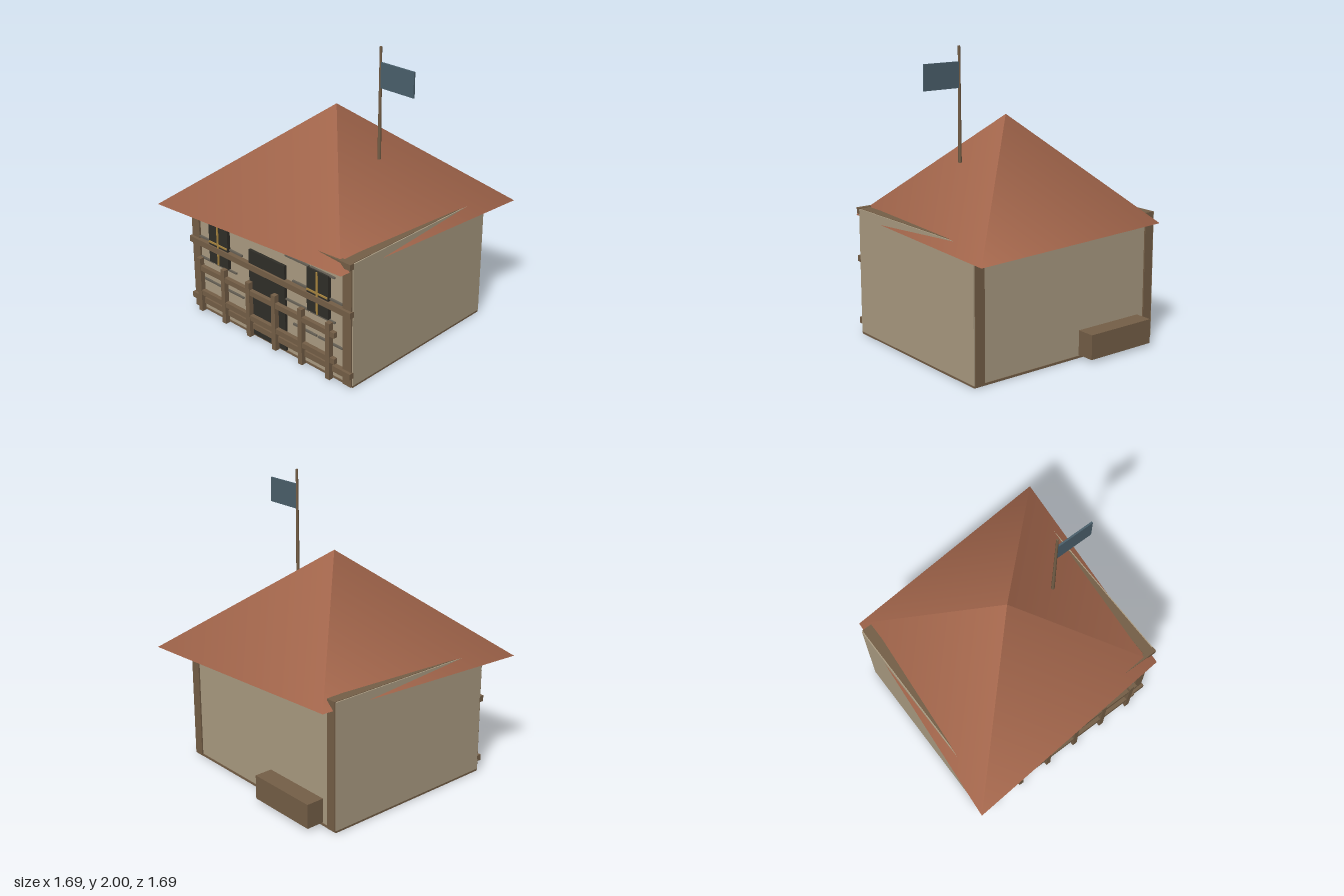
import * as THREE from 'three';

export function createModel() {
  const model = new THREE.Group();
  const mat = (color) => new THREE.MeshStandardMaterial({ color });
  const plaster = mat(0xab9c82);
  const wood = mat(0x755f47);
  const tile = mat(0xa0644a);
  const dark = mat(0x302e28);
  const gold = mat(0xa8853f);
  const seam = mat(0x666055);
  const cloth = mat(0x4b606c);

  const add = (name, geometry, material) => {
    const mesh = new THREE.Mesh(geometry, material);
    mesh.name = name;
    model.add(mesh);
    return mesh;
  };
  // Box given by its limits on each axis
  const box = (name, material, x0, x1, y0, y1, z0, z1) => {
    const mesh = add(name, new THREE.BoxGeometry(x1 - x0, y1 - y0, z1 - z0), material);
    mesh.position.set((x0 + x1) / 2, (y0 + y1) / 2, (z0 + z1) / 2);
    return mesh;
  };

  // Walls
  box('walls', plaster, -0.738, 0.738, 0.015, 0.87, -0.635, 0.635);

  // Side frames with a plaster skin on the outside
  for (const s of [-1, 1]) {
    const side = s < 0 ? 'right' : 'left';
    const a = s * 0.67, b = s * 0.742, c = s * 0.75;
    box(side + 'Frame', wood, Math.min(a, b), Math.max(a, b), 0.003, 0.883, -0.645, 0.65);
    box(side + 'WallSkin', plaster, Math.min(b, c), Math.max(b, c), 0.015, 0.88, -0.64, 0.64);
  }

  // Sills under the walls
  for (const s of [-1, 1]) {
    const sideSill = box('sideSill', wood, -0.035, 0.035, 0, 0.015, -0.64, 0.64);
    sideSill.position.x = s * 0.713;
    const endSill = box('endSill', wood, -0.745, 0.745, 0, 0.015, -0.03, 0.03);
    endSill.position.z = s * 0.61;
  }

  // Hipped roof on a skewed, diamond-shaped plan
  const roof = new THREE.ConeGeometry(1, 0.71, 4);
  roof.scale(1.198, 1, 1.022);
  roof.rotateY(Math.PI / 4);
  add('roof', roof, tile).position.y = 0.82 + 0.355;

  // Long rails across the front
  for (const y of [0.092, 0.531, 0.865]) {
    box('frontBeam', wood, -0.75, 0.75, y - 0.021, y + 0.021, 0.635, 0.67);
  }

  // Door
  box('door', dark, -0.17, 0.165, 0.02, 0.65, 0.63, 0.655);

  // Windows with crossed bars
  for (const x of [-0.465, 0.463]) {
    box('window', dark, x - 0.093, x + 0.093, 0.422, 0.728, 0.63, 0.66);
    box('windowBarVertical', gold, x - 0.006, x + 0.006, 0.425, 0.725, 0.655, 0.668);
    box('windowBarHorizontal', gold, x - 0.09, x + 0.09, 0.57, 0.582, 0.655, 0.667);
  }

  // Staggered seams in the plaster
  [0.25, 0.41, 0.567, 0.728].forEach((y, row) => {
    const shift = row % 2 ? -0.065 : 0;
    for (const start of [-0.68, 0.228]) {
      for (let i = 0; i < 2; i++) {
        const x = start + shift + i * 0.225;
        box('wallSeam', seam, x, x + 0.21, y - 0.006, y + 0.006, 0.63, 0.648);
      }
    }
  });

  // Fence
  for (let i = 0; i < 6; i++) {
    const x = -0.64 + i * 0.2441;
    box('fencePost', wood, x - 0.018, x + 0.018, 0.015, 0.425, 0.66, 0.695);
  }
  for (const y of [0.163, 0.353]) {
    box('fenceRail', wood, -0.66, 0.635, y - 0.019, y + 0.019, 0.662, 0.691);
  }

  // Bench at the back
  box('bench', wood, -0.62, -0.1, 0.02, 0.187, -0.76, -0.63);

  // Flag on a tapered pole
  const pole = add('flagPole', new THREE.CylinderGeometry(0.008, 0.012, 0.75, 8), wood);
  pole.position.set(0.375, 1.625, 0);
  box('flag', cloth, 0.38, 0.648, 1.732, 1.9, -0.006, 0.006);

  return model;
}
